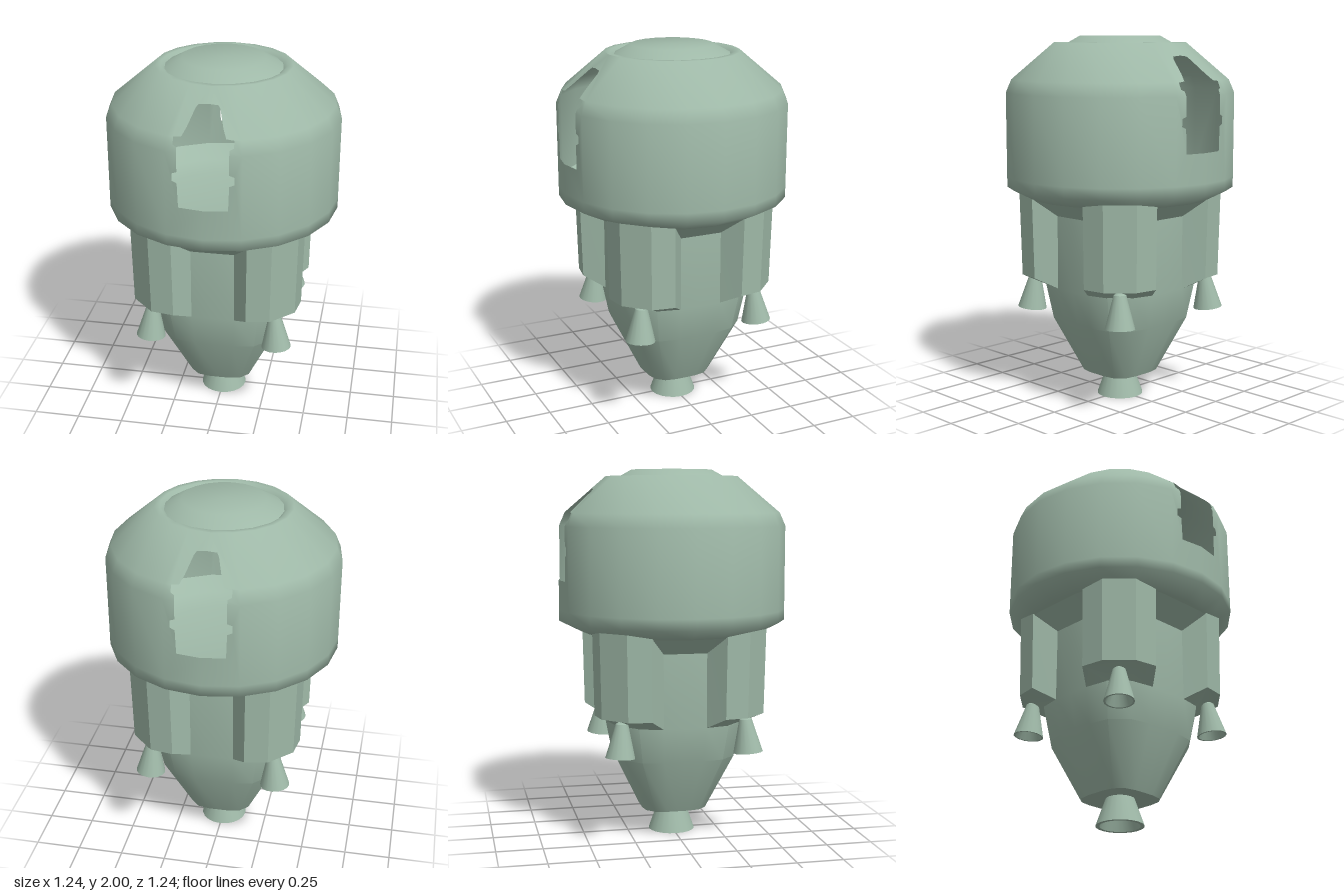
import * as THREE from 'three';
import { mergeGeometries, toCreasedNormals } from 'three/addons/utils/BufferGeometryUtils.js';

const SIDES = 20;
const STEP = (Math.PI * 2) / SIDES;
const deg = THREE.MathUtils.degToRad;
const material = new THREE.MeshStandardMaterial({ color: 0x9fb9a8, side: THREE.DoubleSide });

function lathe(points, segments = SIDES, start = 0, length = Math.PI * 2) {
  return new THREE.LatheGeometry(points.map(([r, y]) => new THREE.Vector2(r, y)), segments, start, length);
}

function addMesh(parent, name, geometry, crease = 0.6) {
  const mesh = new THREE.Mesh(toCreasedNormals(geometry, crease), material);
  mesh.name = name;
  parent.add(mesh);
  return mesh;
}

// Wall of the cabin: [radius, height], bottom to top
const WALL = [[0.62, 1.19], [0.62, 1.25], [0.62, 1.70], [0.59, 1.77], [0.36, 1.965]];

// Right half of the hatch outline: [x, y], bottom to top
const HATCH = [
  [0, 1.41], [0.125, 1.41], [0.13, 1.54], [0.155, 1.55], [0.155, 1.59], [0.13, 1.60], [0.13, 1.70],
  [0.13, 1.725], [0.15, 1.735], [0.15, 1.77], [0.11, 1.775], [0.09, 1.81], [0.062, 1.88], [0.05, 1.895], [0, 1.90],
];

// Two flat facets of the wall with the hatch opening cut out, band by band
function hatchPanels() {
  const panels = [];
  for (let i = 0; i < WALL.length - 1; i++) {
    const [r0, y0] = WALL[i];
    const [r1, y1] = WALL[i + 1];
    const edge = HATCH.filter(([, y]) => y >= y0 && y <= y1).reverse();
    if (y1 > 1.9 || !edge.length) edge.unshift([0, y1]);
    if (y0 < 1.41) edge.push([0, y0]);
    const outline = [[r0 * Math.sin(STEP), y0], [r1 * Math.sin(STEP), y1], ...edge];
    for (const side of [1, -1]) {
      const shape = new THREE.Shape(outline.map(([x, y]) => new THREE.Vector2(x * side, y)));
      const panel = new THREE.ShapeGeometry(shape);
      const p = panel.attributes.position;
      for (let v = 0; v < p.count; v++) {
        const radius = r0 + ((r1 - r0) * (p.getY(v) - y0)) / (y1 - y0);
        p.setZ(v, radius - Math.abs(p.getX(v)) * Math.tan(STEP / 2));
      }
      panels.push(panel);
    }
  }
  return panels;
}

// Engine core: a lathe swollen towards the diagonals, flat towards the axes
function coreGeometry() {
  const swell = [1, 1.05, 1.15, 1.15, 1.05];
  const geometry = lathe([[0, 0.15], [0.178, 0.14], [0.325, 0.45], [0.36, 0.64], [0.36, 1.04], [0.47, 1.13]]);
  const p = geometry.attributes.position;
  for (let v = 0; v < p.count; v++) {
    const x = p.getX(v), z = p.getZ(v);
    const column = Math.round(Math.atan2(x, z) / STEP + SIDES) % 5;
    p.setX(v, x * swell[column]);
    p.setZ(v, z * swell[column]);
  }
  return geometry;
}

// Booster pod: a sector block whose underside slopes up towards the outside
function podGeometry() {
  const plan = [[0.378, 18], [0.51, 23], [0.555, 36], [0.555, 54], [0.51, 67], [0.378, 72], [0.41, 54], [0.41, 36]];
  const shape = new THREE.Shape(
    plan.map(([r, a]) => new THREE.Vector2(r * Math.cos(deg(a)), r * Math.sin(deg(a)))));
  const geometry = new THREE.ExtrudeGeometry(shape, { depth: 0.5, bevelEnabled: false });
  geometry.rotateX(-Math.PI / 2);
  const p = geometry.attributes.position;
  for (let v = 0; v < p.count; v++) {
    const x = p.getX(v), z = p.getZ(v);
    if (p.getY(v) > 0.25) p.setY(v, 1.16);
    else if (Math.hypot(x, z) > 0.45) p.setXYZ(v, x * 0.98, 0.70, z * 0.98);
    else p.setY(v, 0.64);
  }
  return geometry;
}

export function createModel() {
  const model = new THREE.Group();
  model.name = 'escapePod';

  // Hollow cabin with a hatch opening at front and back
  const pieces = [
    lathe([[0.46, 1.13], [0.5, 1.13], WALL[0]]),
    lathe([WALL[4], [0.33, 1.965], [0.31, 1.95]]),
  ];
  for (const turn of [0, Math.PI]) {
    pieces.push(lathe(WALL, 8, STEP, STEP * 8).rotateY(turn));
    pieces.push(...hatchPanels().map((panel) => panel.rotateY(turn)));
  }
  addMesh(model, 'cabinShell', mergeGeometries(pieces), 1.15);
  addMesh(model, 'cabinFloor', lathe([[0.615, 1.27], [0.53, 1.2], [0.4, 1.17], [0, 1.165]]), 0.8);
  addMesh(model, 'roofCap', lathe([[0.31, 1.95], [0.22, 2], [0, 2]]), 0.7);

  // Engine core, flaring out below the cabin
  addMesh(model, 'engineCore', coreGeometry());

  // Main nozzle: open bell with wall thickness
  addMesh(model, 'mainNozzle',
    lathe([[0.055, 0.17], [0.108, 0], [0.128, 0], [0.068, 0.17]]));

  // Four pods on the diagonals, each with a small tilted thruster
  const pod = podGeometry();
  const bell = lathe([[0.02, 0.12], [0.07, 0], [0.08, 0], [0.041, 0.15], [0.034, 0.178], [0.018, 0.19], [0, 0.192]], 16);
  for (let i = 0; i < 4; i++) {
    const booster = new THREE.Group();
    booster.name = 'booster' + (i + 1);
    booster.rotation.y = (i * Math.PI) / 2;
    addMesh(booster, 'pod', pod);
    const mount = new THREE.Group();
    mount.name = 'thrusterMount';
    mount.rotation.y = Math.PI / 4;
    const thruster = addMesh(mount, 'thruster', bell);
    thruster.position.set(0.492, 0.497, 0);
    thruster.rotation.z = 0.1;
    booster.add(mount);
    model.add(booster);
  }
  return model;
}
